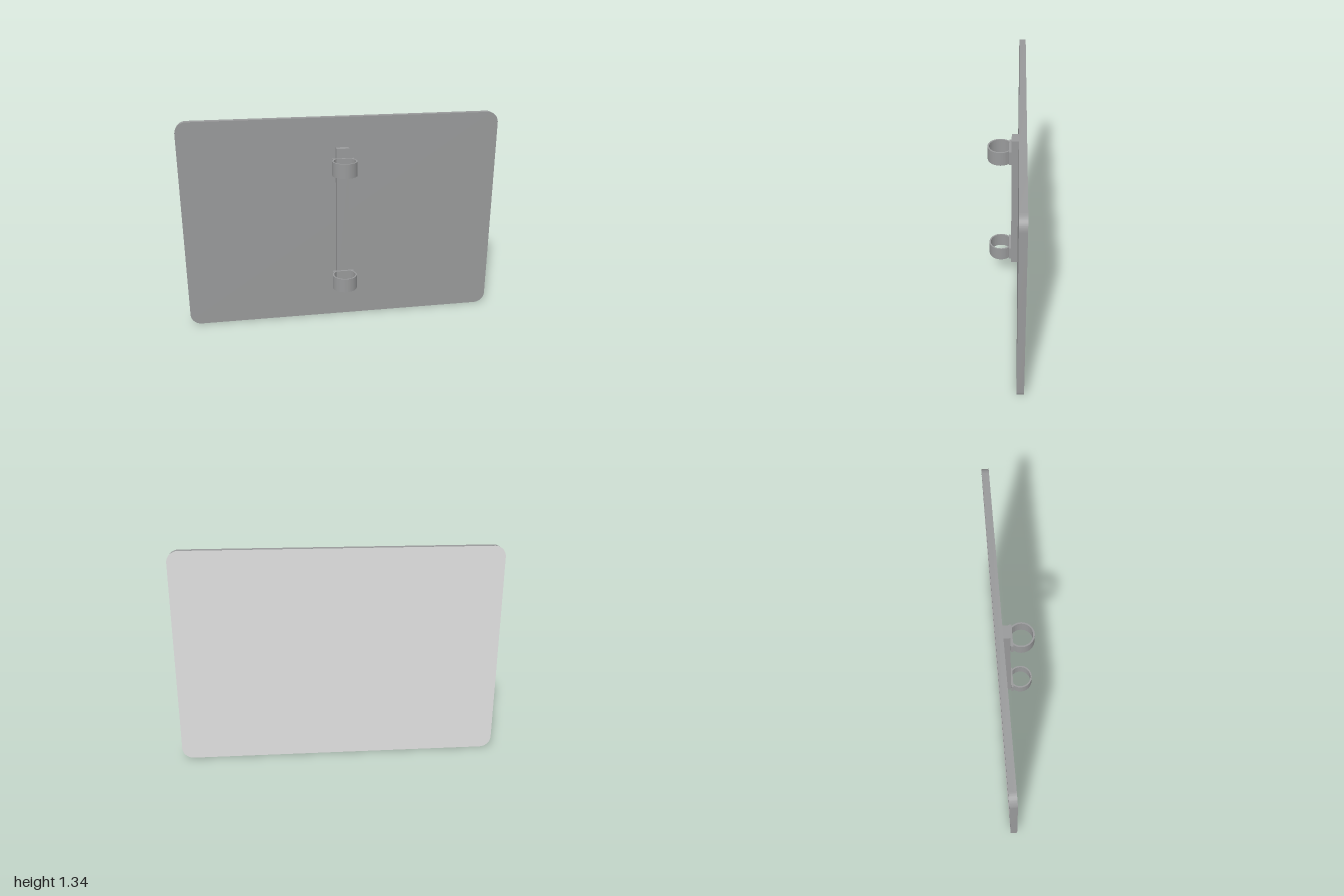
import * as THREE from 'three';
import { toCreasedNormals } from 'three/addons/utils/BufferGeometryUtils.js';

const grey = new THREE.MeshStandardMaterial({ color: 0x98999a });
grey.name = 'grey metal';
const white = new THREE.MeshStandardMaterial({ color: 0xe0e0e0 });
white.name = 'white sign face';

function addPart(parent, name, geometry, material = grey) {
  const mesh = new THREE.Mesh(geometry, material);
  mesh.name = name;
  parent.add(mesh);
  return mesh;
}

function extrude(shape, depth, curveSegments) {
  const geo = new THREE.ExtrudeGeometry(shape, { depth, curveSegments, bevelEnabled: false });
  return toCreasedNormals(geo, 0.5);
}

// Rectangle with rounded corners, standing on y = 0
function roundedRect(w, h, r) {
  const s = new THREE.Shape();
  const x = w / 2;
  s.absarc(x - r, r, r, -Math.PI / 2, 0, false);
  s.absarc(x - r, h - r, r, 0, Math.PI / 2, false);
  s.absarc(-x + r, h - r, r, Math.PI / 2, Math.PI, false);
  s.absarc(-x + r, r, r, Math.PI, Math.PI * 1.5, false);
  s.closePath();
  return s;
}

// Open ring with its gap against the back plate
function clampRing() {
  const s = new THREE.Shape();
  const outer = 0.0775, inner = 0.068, cz = -0.0375, gap = 0.052;
  const a = Math.asin(gap / outer), b = Math.asin(gap / inner);
  s.absarc(0, cz, outer, Math.PI - a, Math.PI * 2 + a, false);
  s.absarc(0, cz, inner, Math.PI * 2 + b, Math.PI - b, true);
  s.closePath();
  return extrude(s, 0.09, 48).rotateX(-Math.PI / 2);
}

export function createModel() {
  const model = new THREE.Group();
  model.name = 'signPanel';

  // Flat panel with a white face on the side away from the pole
  const outline = roundedRect(2, 1.335, 0.07);
  addPart(model, 'panel', extrude(outline, 0.043, 10)).position.z = -0.114;
  const face = new THREE.ShapeGeometry(outline, 10).rotateY(Math.PI);
  addPart(model, 'signFace', face, white).position.z = -0.115;

  // Upright mounting rail
  addPart(model, 'rail', new THREE.BoxGeometry(0.08, 0.96, 0.042)).position.set(0, 0.667, -0.05);

  // Upper and lower pole clamps
  for (const [name, y] of [['lowerClamp', 0.243], ['upperClamp', 0.998]]) {
    const clamp = new THREE.Group();
    clamp.name = name;
    clamp.position.y = y;
    addPart(clamp, 'clampRing', clampRing());
    addPart(clamp, 'clampPlate', new THREE.BoxGeometry(0.137, 0.09, 0.015)).position.set(0, 0.045, -0.0215);
    model.add(clamp);
  }
  return model;
}
